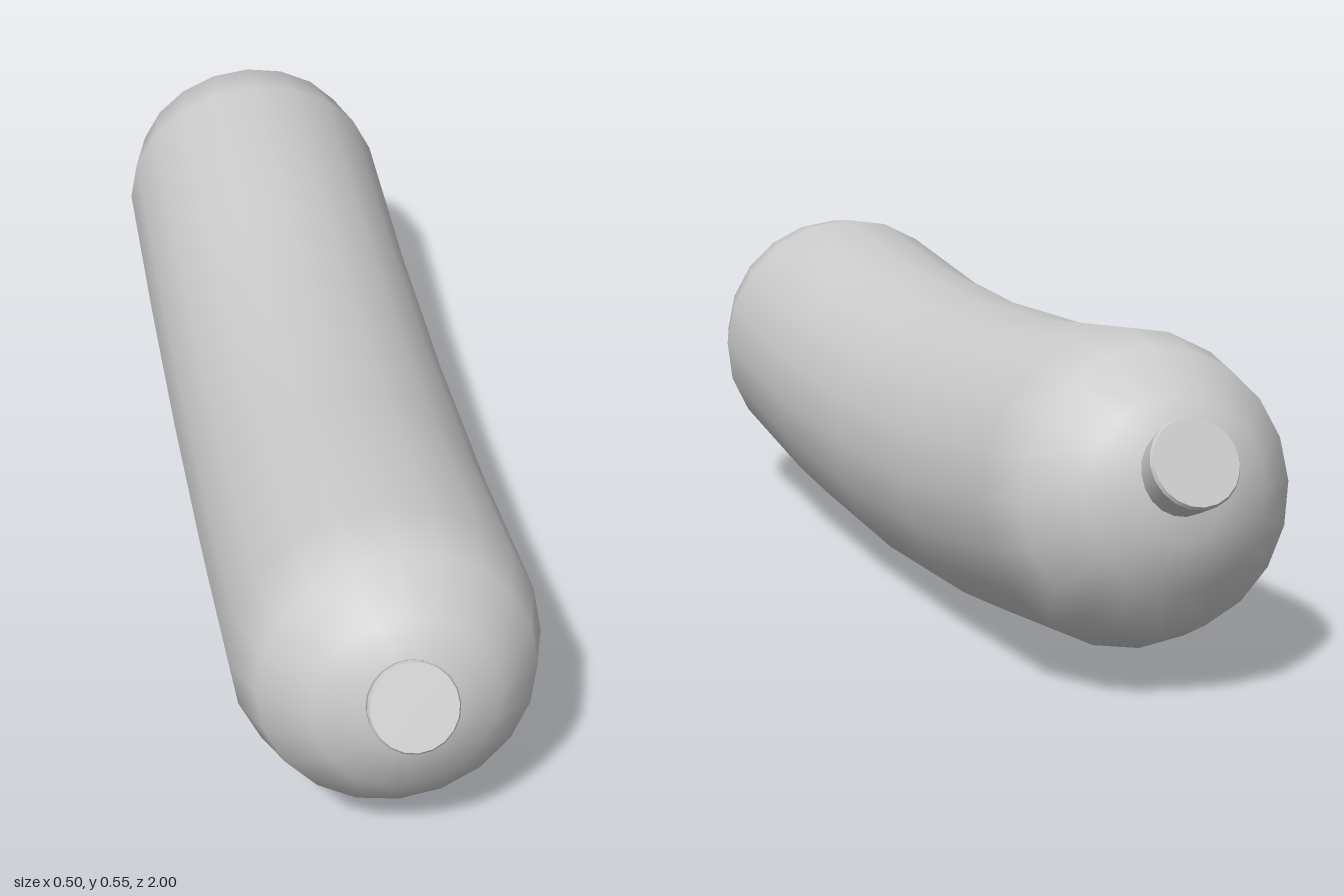
import * as THREE from 'three';
import { mergeVertices, toCreasedNormals } from 'three/addons/utils/BufferGeometryUtils.js';

const SIDES = 20;
const HALF = 0.738;   // half length of the bent tube
const BEND = 4.75;    // radius of the bend
const LOW = 0.248;    // height of the spine in the middle

const lathe = (pts) => new THREE.LatheGeometry(pts.map(([r, y]) => new THREE.Vector2(r, y)), SIDES);

// Bends a shape lying along z upwards at both ends; the end caps stay straight
function bend(geometry) {
  const p = geometry.attributes.position;
  for (let i = 0; i < p.count; i++) {
    const y = p.getY(i), z = p.getZ(i);
    const s = THREE.MathUtils.clamp(z, -HALF, HALF);
    const a = s / BEND, extra = z - s;
    p.setY(i, LOW + BEND - (BEND - y) * Math.cos(a) + extra * Math.sin(a));
    p.setZ(i, (BEND - y) * Math.sin(a) + extra * Math.cos(a));
  }
}

export function createModel() {
  const group = new THREE.Group();
  const material = new THREE.MeshStandardMaterial({ color: 0xcccccc });

  // Body: a tube with rounded ends
  const end = [[0.248, HALF], [0.219, HALF + 0.1], [0.146, HALF + 0.172], [0.07, HALF + 0.198], [0, HALF + 0.203]];
  const profile = [
    ...end.map(([r, y]) => [r, -y]).reverse(),
    [0.248, -HALF / 2], [0.248, 0], [0.248, HALF / 2],
    ...end,
  ];
  let body = lathe(profile).rotateX(Math.PI / 2);
  bend(body);
  body.deleteAttribute('uv');
  body.deleteAttribute('normal');
  body = mergeVertices(body, 1e-5);
  body.computeVertexNormals();
  const bodyMesh = new THREE.Mesh(body, material);
  bodyMesh.name = 'body';
  group.add(bodyMesh);

  // Flared end knobs, tilted upwards
  const knob = toCreasedNormals(
    lathe([[0, -0.1], [0.062, -0.1], [0.071, -0.006], [0.068, 0], [0, 0]]), Math.PI / 6);
  const up = new THREE.Vector3(0, 1, 0);
  for (const [name, side, y, z, tilt] of [
    ['frontKnob', 1, 0.374, 0.964, 32],
    ['backKnob', -1, 0.395, -0.969, 27],
  ]) {
    const t = THREE.MathUtils.degToRad(tilt);
    const mesh = new THREE.Mesh(knob, material);
    mesh.name = name;
    mesh.position.set(0, y, z);
    mesh.quaternion.setFromUnitVectors(up, new THREE.Vector3(0, Math.sin(t), side * Math.cos(t)));
    group.add(mesh);
  }
  return group;
}
